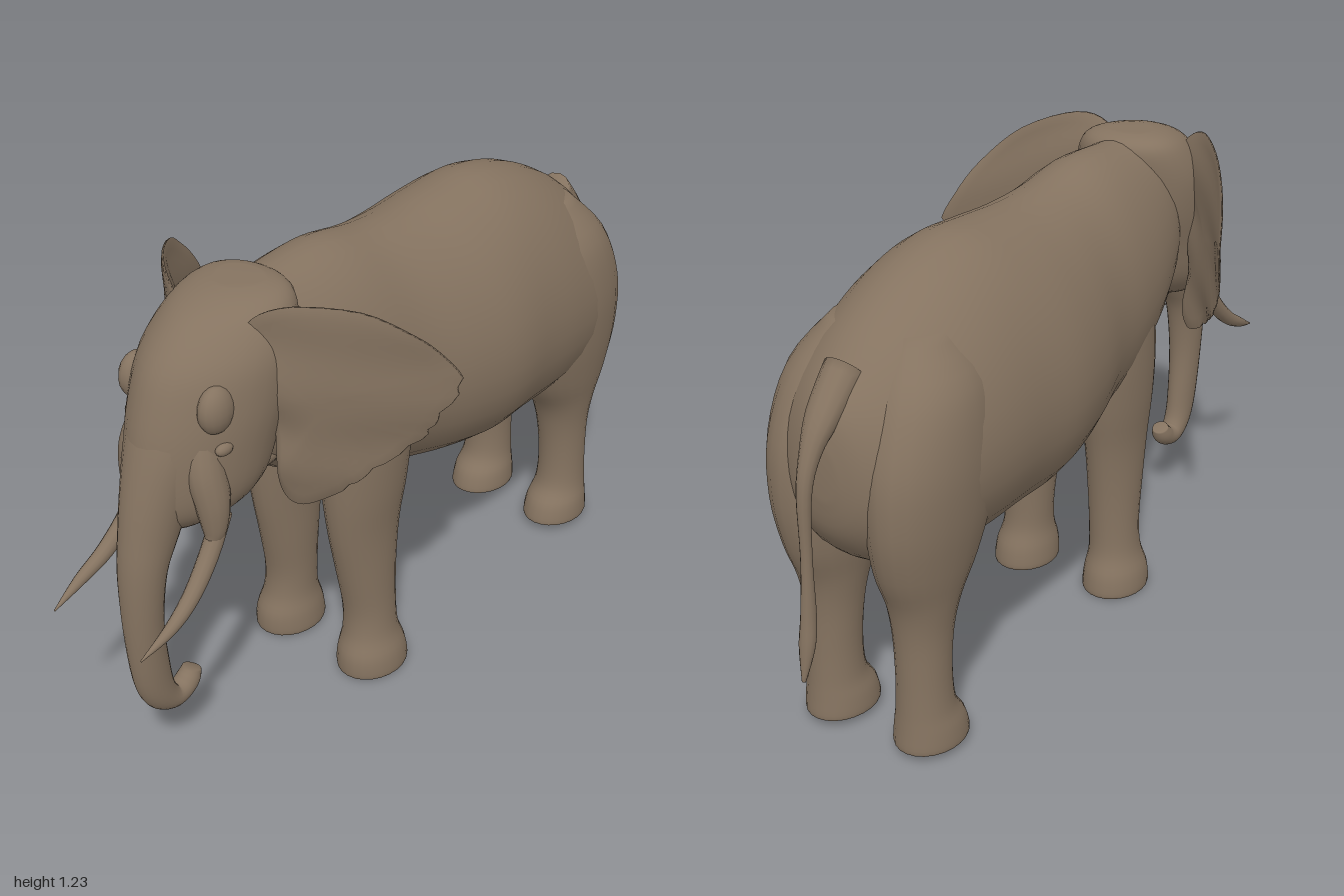
import * as THREE from 'three';

const V = (x, y, z) => new THREE.Vector3(x, y, z);

// Smooth interpolation through rows of numbers
function smoothRows(rows, steps) {
  const out = [], last = rows.length - 1;
  for (let i = 0; i < last; i++) {
    const [a, b, c, d] = [rows[Math.max(i - 1, 0)], rows[i], rows[i + 1], rows[Math.min(i + 2, last)]];
    for (let s = 0; s < steps; s++) {
      const t = s / steps;
      out.push(b.map((_, k) => {
        const cubic = 3 * (b[k] - c[k]) + d[k] - a[k];
        const square = 2 * a[k] - 5 * b[k] + 4 * c[k] - d[k];
        return b[k] + 0.5 * t * (c[k] - a[k] + t * (square + t * cubic));
      }));
    }
  }
  out.push(rows[last]);
  return out;
}

// Closed skin over rings of points, wound so that it faces outward
function skin(rings) {
  const n = rings[0].length, pts = rings.flat(), tris = [];
  for (let r = 0; r < rings.length - 1; r++) {
    for (let i = 0; i < n; i++) {
      const a = r * n + i, b = r * n + (i + 1) % n;
      tris.push([a, b, b + n], [a, b + n, a + n]);
    }
  }
  const centre = ring => ring.reduce((s, p) => s.add(p), V(0, 0, 0)).divideScalar(n);
  const first = pts.push(centre(rings[0])) - 1;
  const end = pts.push(centre(rings[rings.length - 1])) - 1;
  const base = (rings.length - 1) * n;
  for (let i = 0; i < n; i++) {
    const j = (i + 1) % n;
    tris.push([first, j, i], [end, base + i, base + j]);
  }
  const cross = V(0, 0, 0);
  const volume = tris.reduce((s, [a, b, c]) => s + pts[a].dot(cross.crossVectors(pts[b], pts[c])), 0);
  if (volume < 0) tris.forEach(t => t.reverse());
  const geo = new THREE.BufferGeometry().setFromPoints(pts);
  geo.setIndex(tris.flat());
  geo.computeVertexNormals();
  return geo;
}

// Limb-like form: rows are [x, y, z, half width, half depth]; axis fixes the ring plane,
// taper narrows one side of each ring
function loft(rows, { axis = null, taper = 0, sides = 24 } = {}) {
  const path = smoothRows(rows, 4);
  return skin(path.map(([x, y, z, rx, rn], i) => {
    const p = path[Math.max(i - 1, 0)], q = path[Math.min(i + 1, path.length - 1)];
    const t = axis || V(0, q[1] - p[1], q[2] - p[2]).normalize();
    const up = V(0, t.z, -t.y);
    return Array.from({ length: sides }, (_, k) => {
      const a = k / sides * Math.PI * 2, s = Math.sin(a);
      return V(x + Math.cos(a) * rx * (1 - taper * s), y + up.y * s * rn, z + up.z * s * rn);
    });
  }));
}

// Fan-shaped ear, swept outward and back, with a ragged rear rim
function earGeometry(side) {
  const outline = smoothRows([
    [0.1, 1.14], [0.13, 1.2], [0.2, 1.23], [0.3, 1.2], [0.37, 1.12], [0.405, 1.04], [0.425, 0.96],
    [0.395, 0.88], [0.37, 0.83], [0.31, 0.77], [0.26, 0.72], [0.19, 0.685], [0.155, 0.73],
    [0.16, 0.85], [0.14, 1.0], [0.1, 1.14]], 4).slice(0, -1);
  // Rings run from the middle of one face, around the rim, to the middle of the other
  const ring = (f, face) => outline.map(([ox, oy], i) => {
    const rag = i > 22 && i < 42 && i % 3 === 0 ? 0.965 : 1;
    const x = 0.25 + (ox - 0.25) * f * rag, y = 0.97 + (oy - 0.97) * f * rag, d = x - 0.15;
    const z = 0.56 - 0.7 * d - 2.3 * d * d - 0.1 * Math.max(0, 1 - y)
      + 0.008 * Math.sin(y * 30 + x * 14) * f;
    return V(side * x, y, z + face * (0.004 + 0.016 * (1 - f * f)));
  });
  const scales = Array.from({ length: 9 }, (_, k) => (k + 1) / 9);
  return skin([...scales.map(f => ring(f, 1)), ...scales.reverse().map(f => ring(f, -1))]);
}

export function createModel() {
  const model = new THREE.Group();
  model.name = 'elephant';
  const hide = new THREE.MeshStandardMaterial({ color: 0x857360 });
  hide.name = 'brown grey hide';
  const add = (name, geo) => {
    const mesh = new THREE.Mesh(geo, hide);
    mesh.name = name;
    model.add(mesh);
    return mesh;
  };

  // Body from rump to neck: [z, top, bottom, half width]
  const body = [
    [-0.892, 0.84, 0.72, 0.035], [-0.87, 0.93, 0.62, 0.11], [-0.8, 1.01, 0.53, 0.2],
    [-0.7, 1.09, 0.48, 0.25], [-0.55, 1.165, 0.46, 0.275], [-0.4, 1.2, 0.46, 0.285],
    [-0.25, 1.193, 0.465, 0.295], [-0.1, 1.185, 0.49, 0.275], [0.05, 1.195, 0.525, 0.24],
    [0.2, 1.22, 0.56, 0.225], [0.35, 1.215, 0.64, 0.2], [0.5, 1.2, 0.74, 0.15], [0.58, 1.1, 0.8, 0.08]];
  add('body', loft(body.map(([z, t, b, w]) => [0, (t + b) / 2, z, w, (t - b) / 2]),
    { axis: V(0, 0, 1), taper: 0.13, sides: 36 }));

  // Head from jaw line to crown: [y, front, back, half width]
  const head = [
    [0.7, 0.8, 0.64, 0.07], [0.74, 0.83, 0.54, 0.12], [0.8, 0.84, 0.48, 0.15], [0.9, 0.835, 0.44, 0.165],
    [1.0, 0.81, 0.4, 0.175], [1.1, 0.765, 0.38, 0.172], [1.18, 0.68, 0.37, 0.145],
    [1.215, 0.6, 0.39, 0.11], [1.228, 0.54, 0.43, 0.06]];
  add('head', loft(head.map(([y, f, b, w]) => [0, y, (f + b) / 2, w, (f - b) / 2]),
    { axis: V(0, 1, 0), taper: -0.2, sides: 32 }));

  add('lowerJaw', loft([
    [0, 0.8, 0.46, 0.11, 0.06], [0, 0.775, 0.56, 0.1, 0.055], [0, 0.73, 0.63, 0.06, 0.045],
    [0, 0.69, 0.67, 0.035, 0.028], [0, 0.665, 0.685, 0.012, 0.01]]));

  // Trunk with its tip curled back
  add('trunk', loft([
    [0, 1.0, 0.68, 0.12, 0.11], [0, 0.9, 0.735, 0.105, 0.1], [0, 0.8, 0.78, 0.083, 0.088],
    [0, 0.7, 0.815, 0.068, 0.076], [0, 0.6, 0.845, 0.058, 0.06], [0, 0.45, 0.855, 0.047, 0.052],
    [0, 0.3, 0.843, 0.04, 0.052], [0, 0.225, 0.822, 0.037, 0.045], [0, 0.187, 0.785, 0.034, 0.034],
    [0, 0.188, 0.748, 0.032, 0.03], [0, 0.207, 0.722, 0.03, 0.03], [0, 0.23, 0.71, 0.024, 0.024]]));

  add('tail', loft([
    [0, 1.0, -0.79, 0.05, 0.05], [0, 0.92, -0.875, 0.042, 0.035], [0, 0.85, -0.925, 0.026, 0.024],
    [0, 0.76, -0.955, 0.018, 0.018], [0, 0.6, -0.96, 0.014, 0.014], [0, 0.46, -0.965, 0.018, 0.02],
    [0, 0.38, -0.977, 0.02, 0.018], [0, 0.295, -0.996, 0.005, 0.005]], { sides: 12 }));

  for (const s of [1, -1]) {
    const side = s > 0 ? 'left' : 'right';
    const up = V(0, 1, 0);
    const mirrored = rows => rows.map(([x, ...rest]) => [s * x, ...rest]);

    // Legs: [x, y, z, half width, half depth], sole to shoulder or hip
    add(side + 'FrontLeg', loft(mirrored([
      [0.147, 0, 0.185, 0.08, 0.097], [0.147, 0.01, 0.185, 0.088, 0.105], [0.146, 0.06, 0.187, 0.084, 0.1],
      [0.142, 0.12, 0.187, 0.07, 0.08], [0.138, 0.2, 0.187, 0.067, 0.077], [0.134, 0.32, 0.195, 0.07, 0.092],
      [0.132, 0.45, 0.2, 0.074, 0.115], [0.132, 0.58, 0.195, 0.085, 0.138], [0.13, 0.72, 0.19, 0.09, 0.15],
      [0.125, 0.88, 0.19, 0.085, 0.13], [0.1, 1.02, 0.19, 0.06, 0.08]]), { axis: up }));
    add(side + 'HindLeg', loft(mirrored([
      [0.135, 0.02, -0.695, 0.078, 0.098], [0.135, 0.027, -0.695, 0.086, 0.106], [0.135, 0.075, -0.7, 0.082, 0.097],
      [0.135, 0.13, -0.715, 0.07, 0.078], [0.134, 0.22, -0.717, 0.066, 0.074], [0.132, 0.33, -0.712, 0.07, 0.082],
      [0.132, 0.42, -0.705, 0.083, 0.105], [0.133, 0.52, -0.69, 0.103, 0.16], [0.138, 0.65, -0.675, 0.118, 0.2],
      [0.135, 0.8, -0.66, 0.127, 0.205], [0.12, 0.95, -0.64, 0.115, 0.16], [0.09, 1.06, -0.62, 0.06, 0.08]]),
    { axis: up }));

    add(side + 'Ear', earGeometry(s));

    // Cheek socket and the tusk growing from it
    add(side + 'TuskSocket', loft(mirrored([
      [0.085, 0.96, 0.71, 0.035, 0.04], [0.105, 0.87, 0.725, 0.045, 0.05], [0.122, 0.79, 0.725, 0.042, 0.045],
      [0.13, 0.72, 0.73, 0.03, 0.03], [0.131, 0.69, 0.74, 0.018, 0.018]]), { sides: 14 }));
    add(side + 'Tusk', loft(mirrored([
      [0.128, 0.75, 0.7, 0.024, 0.024], [0.133, 0.66, 0.755, 0.024, 0.024], [0.143, 0.585, 0.83, 0.021, 0.021],
      [0.15, 0.54, 0.91, 0.015, 0.015], [0.145, 0.503, 0.998, 0.002, 0.002]]), { sides: 12 }));

    // Brow ridge and eyelid
    const brow = add(side + 'Brow', new THREE.SphereGeometry(1, 16, 10));
    brow.scale.set(0.035, 0.06, 0.05);
    brow.position.set(s * 0.125, 1.02, 0.7);
    const lid = add(side + 'Eyelid', new THREE.SphereGeometry(1, 12, 8));
    lid.scale.set(0.015, 0.016, 0.026);
    lid.position.set(s * 0.145, 0.925, 0.7);
  }
  return model;
}
